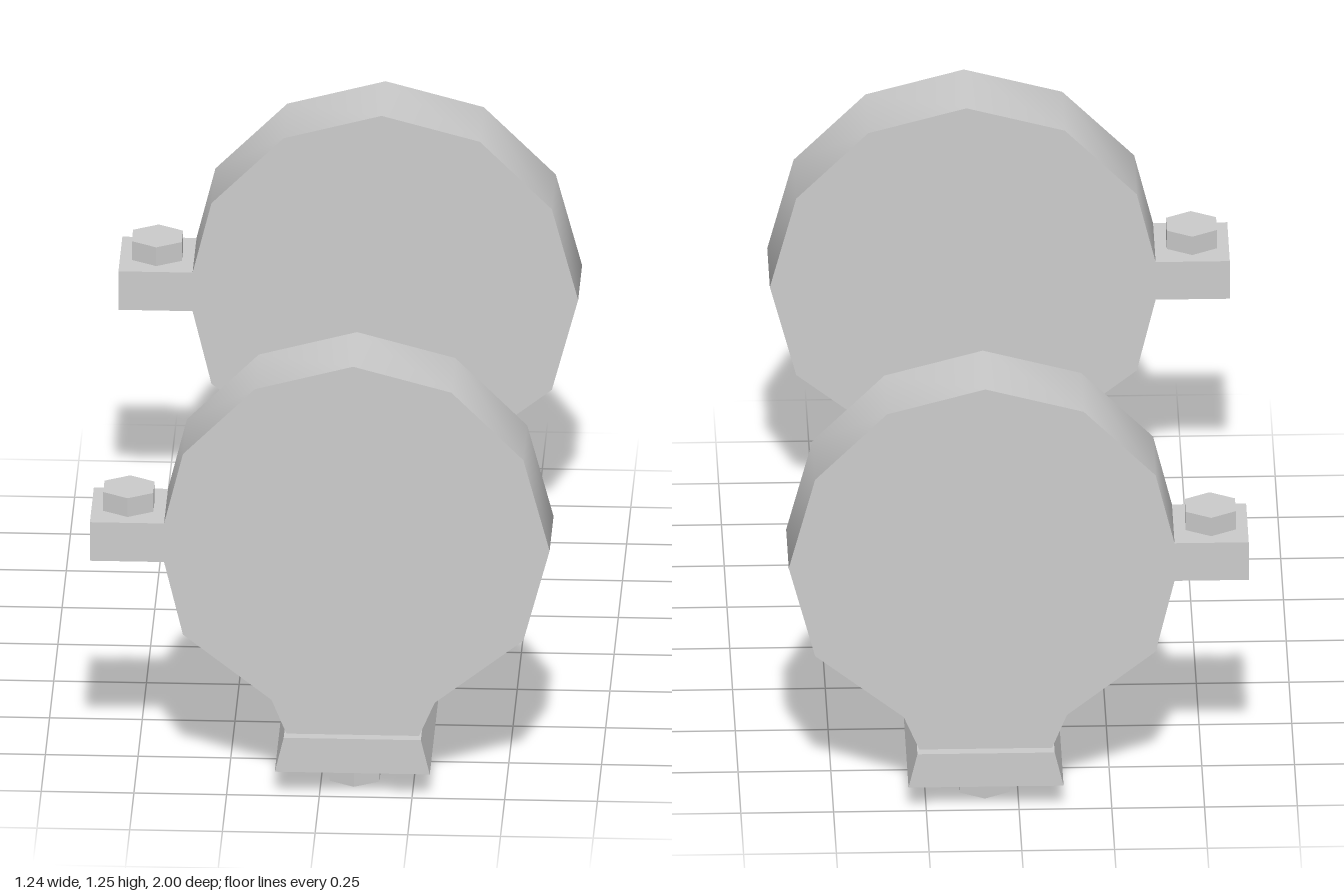
import * as THREE from 'three';
import { toCreasedNormals } from 'three/addons/utils/BufferGeometryUtils.js';

const material = new THREE.MeshStandardMaterial({ color: 0xcccccc });
const CX = 0.09, CY = 0.72, R = 0.53; // clamp disc centre and radius
const DEPTH = 0.236, CLAMP_Z = 0.853;

function add(parent, name, geometry, x = 0, y = 0, z = 0) {
  const mesh = new THREE.Mesh(geometry, material);
  mesh.name = name;
  mesh.position.set(x, y, z);
  parent.add(mesh);
}

// Extrudes an outline along z, centred on z = 0, with sharp edges above the crease angle
function prism(points, depth, crease) {
  const shape = new THREE.Shape(points.map(([x, y]) => new THREE.Vector2(x, y)));
  const geometry = new THREE.ExtrudeGeometry(shape, { depth, bevelEnabled: false });
  geometry.translate(0, 0, -depth / 2);
  return toCreasedNormals(geometry, crease);
}

// Hexagonal bolt head with corners along z
const hexHead = (height) =>
  new THREE.CylinderGeometry(0.078, 0.078, height, 6).toNonIndexed();

function boltHead(height) {
  return toCreasedNormals(hexHead(height), 0.3);
}

function createClamp() {
  const clamp = new THREE.Group();

  // Twelve-sided disc, drawn in towards the neck and cut flat at the lug
  const outline = [];
  for (let deg = -30; deg <= 150; deg += 30) {
    const a = THREE.MathUtils.degToRad(deg);
    outline.push([CX + R * Math.cos(a), CY + R * Math.sin(a)]);
  }
  outline.push([-0.42, 0.78], [-0.42, 0.667], [CX - R * Math.cos(Math.PI / 6), CY - R / 2]);
  outline.push([-0.13, 0.268], [0.31, 0.268]);
  add(clamp, 'clampDisc', prism(outline, DEPTH, 0.645));

  // Tapered neck down to the base plate
  add(clamp, 'neck', prism([[-0.09, 0.17], [0.268, 0.17], [0.31, 0.268], [-0.13, 0.268]], DEPTH, 0.1));

  // Side lug and its bolt
  add(clamp, 'lug', new THREE.BoxGeometry(0.2, 0.113, DEPTH), -0.52, 0.7235, 0);
  add(clamp, 'lugBolt', boltHead(0.055), -0.52, 0.8075, 0);

  // Bolt under the base plate
  add(clamp, 'baseBolt', boltHead(0.07), CX, 0.035, 0);
  return clamp;
}

export function createModel() {
  const model = new THREE.Group();
  model.name = 'clampBracket';

  // Long base plate with sloping sides
  add(model, 'basePlate', prism([[-0.12, 0.07], [0.298, 0.07], [0.274, 0.17], [-0.096, 0.17]], 2, 0.1));

  // Matching clamps at the front and back
  for (const [name, side] of [['frontClamp', 1], ['backClamp', -1]]) {
    const clamp = createClamp();
    clamp.name = name;
    clamp.position.z = side * CLAMP_Z;
    model.add(clamp);
  }
  return model;
}
